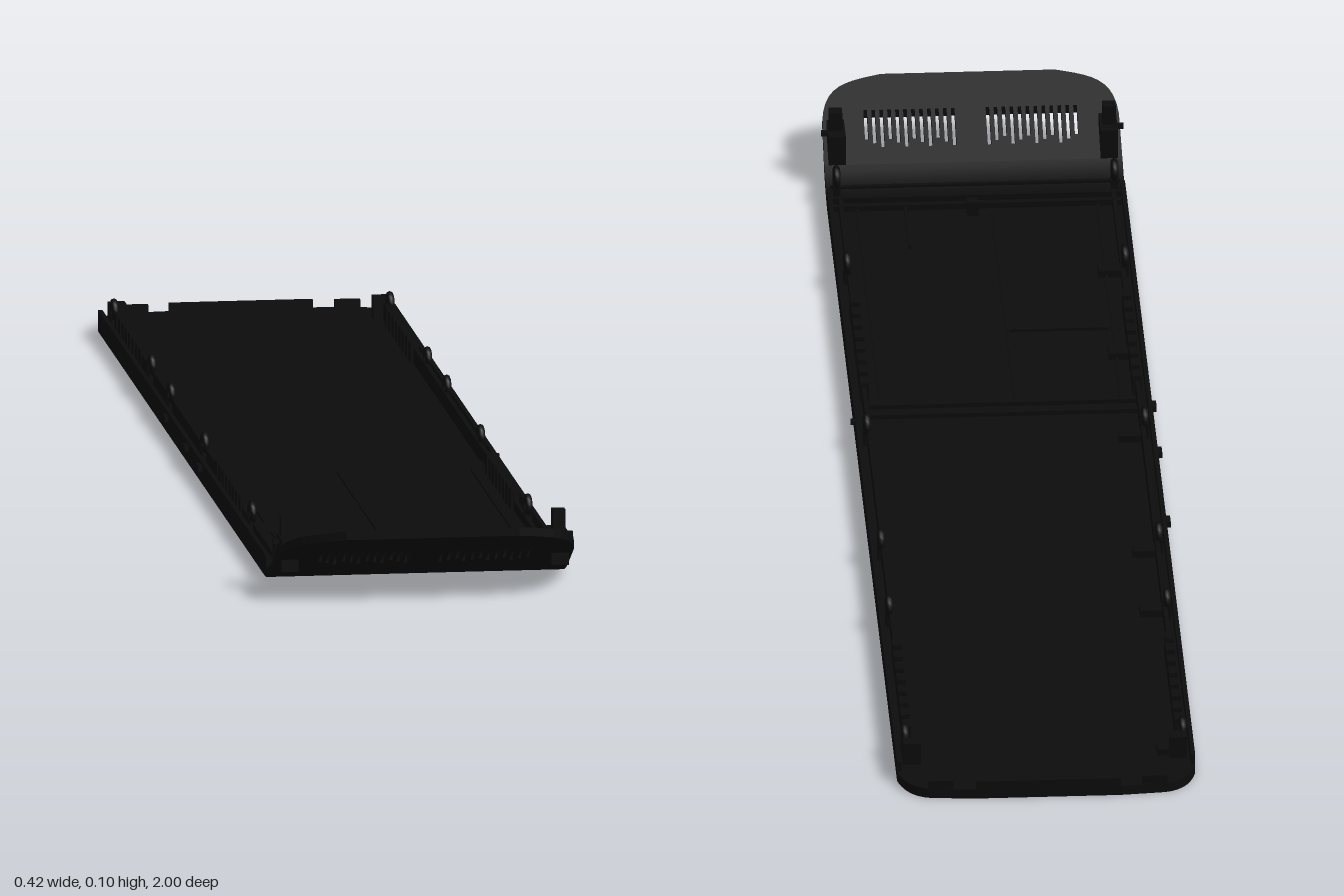
import * as THREE from 'three';

const black = new THREE.MeshStandardMaterial({ color: 0x0c0c0c });
black.name = 'matte black';

// Height of the underside: flat, then a smooth bend into the raised lip
const rise = (z) => z < 0.78 ? 0 : z < 0.86 ? (z - 0.78) ** 2 * 3.125 : 0.02 + (z - 0.86) * 0.5;

function bend(geo) {
  const p = geo.attributes.position;
  for (let i = 0; i < p.count; i++) p.setY(i, p.getY(i) + rise(p.getZ(i)));
  geo.computeVertexNormals();
  return geo;
}

// Plan outline (x, z) turned into a slab standing on y = 0
function slab(shape, depth) {
  const geo = new THREE.ExtrudeGeometry(shape, { depth, bevelEnabled: false, curveSegments: 10 });
  return geo.rotateX(Math.PI / 2).translate(0, depth, 0);
}

export function createModel() {
  const root = new THREE.Group();
  root.name = 'coverPanel';
  const add = (name, geo, x = 0, y = 0, z = 0) => {
    const m = new THREE.Mesh(geo, black);
    m.name = name;
    m.position.set(x, y, z);
    root.add(m);
    return m;
  };
  // Box given by its limits
  const box = (name, x0, x1, y0, y1, z0, z1) =>
    add(name, new THREE.BoxGeometry(x1 - x0, y1 - y0, z1 - z0), (x0 + x1) / 2, (y0 + y1) / 2, (z0 + z1) / 2);
  // The same box on both sides
  const pair = (name, x0, x1, ...r) => {
    box(name + 'Left', x0, x1, ...r);
    box(name + 'Right', -x1, -x0, ...r);
  };

  // Floor with clipped rear corners
  const floor = new THREE.Shape();
  floor.moveTo(-0.206, 0.78);
  floor.lineTo(-0.206, -0.94);
  floor.quadraticCurveTo(-0.195, -0.99, -0.16, -0.995);
  floor.lineTo(-0.1, -1);
  floor.lineTo(0.1, -1);
  floor.lineTo(0.16, -0.995);
  floor.quadraticCurveTo(0.195, -0.99, 0.206, -0.94);
  floor.lineTo(0.206, 0.78);
  add('floor', slab(floor, 0.014));

  // Curved transition between floor and lip
  add('bend', bend(new THREE.BoxGeometry(0.412, 0.014, 0.08, 1, 1, 8).translate(0, 0.007, 0.82)));

  // Raised lip with rounded corners and two banks of vent slots
  const lip = new THREE.Shape();
  lip.moveTo(-0.206, 0.86);
  lip.lineTo(0.206, 0.86);
  lip.lineTo(0.205, 0.93);
  lip.bezierCurveTo(0.2, 0.985, 0.17, 0.99, 0.12, 1);
  lip.lineTo(-0.12, 1);
  lip.bezierCurveTo(-0.17, 0.99, -0.2, 0.985, -0.205, 0.93);
  for (const s of [-1, 1]) for (let i = 0; i < 12; i++) {
    const x = s * (0.024 + i * 0.011), z0 = 0.888 + (i % 3) * 0.006;
    const slot = new THREE.Path();
    slot.moveTo(x - 0.0025, z0);
    slot.lineTo(x - 0.0025, 0.945);
    slot.lineTo(x + 0.0025, 0.945);
    slot.lineTo(x + 0.0025, z0);
    lip.holes.push(slot);
  }
  add('ventedLip', bend(slab(lip, 0.012)));

  // Side walls, inner rails and rear wall segments
  pair('sideWall', 0.2, 0.206, 0.01, 0.03, -0.94, 0.8);
  pair('innerRail', 0.186, 0.192, 0.012, 0.036, -0.92, 0.45);
  pair('frontRail', 0.186, 0.192, 0.012, 0.028, 0.45, 0.78);
  box('rearWall', -0.1, 0.1, 0.01, 0.026, -1, -0.994);
  pair('rearWallSegment', 0.13, 0.165, 0.01, 0.026, -0.995, -0.985);
  pair('rearBlock', 0.172, 0.196, 0.012, 0.046, -0.92, -0.9);

  // Toothed clips on the inner rails
  for (const [start, end] of [[-0.86, -0.58], [0.18, 0.45]])
    for (let z = start; z < end; z += 0.035) pair('railTooth', 0.182, 0.194, 0.012, 0.043, z, z + 0.022);

  // Screw eyes along both sides
  for (const z of [-0.88, -0.49, -0.29, 0.06, 0.55, 0.81]) for (const s of [-1, 1]) {
    add('screwEye', new THREE.TorusGeometry(0.012, 0.005, 8, 18).rotateY(Math.PI / 2), s * 0.192, 0.041, z);
    box('eyeFoot', s * 0.192 - 0.005, s * 0.192 + 0.005, 0.01, 0.032, z - 0.012, z + 0.012);
  }

  // Stepped posts at the base of the lip
  pair('postBase', 0.176, 0.2, 0.03, 0.076, 0.862, 0.915);
  pair('post', 0.18, 0.198, 0.07, 0.104, 0.88, 0.898);
  pair('postPeg', 0.196, 0.209, 0.066, 0.072, 0.885, 0.893);

  // Outer locating tabs
  for (const z of [-0.22, -0.01, 0.13]) box('outerTab', -0.212, -0.2, 0.018, 0.026, z - 0.01, z + 0.01);
  box('outerPeg', 0.2, 0.212, 0.02, 0.025, 0.1, 0.11);

  // Cross ribs and ridges on the floor
  for (const z of [0.13, 0.16]) box('crossRib', -0.19, 0.19, 0.012, 0.02, z - 0.003, z + 0.003);
  for (const z of [0.76, 0.785, 0.82]) box('bendRib', -0.2, 0.2, 0.012, 0.022, z - 0.003, z + 0.003);
  box('longRib', -0.022, -0.018, 0.012, 0.018, 0.16, 0.74);
  box('shortRib', 0.098, 0.102, 0.012, 0.02, 0.64, 0.76);
  box('panelRib', -0.16, -0.02, 0.012, 0.018, 0.38, 0.384);
  pair('edgeRib', 0.164, 0.168, 0.012, 0.018, 0.16, 0.76);
  box('smallStud', 0, 0.016, 0.012, 0.035, 0.735, 0.75);
  for (const z of [-0.9, -0.48, -0.3, 0.05, 0.3, 0.55])
    box('sideRib', -0.19, -0.155, 0.012, 0.024, z - 0.012, z + 0.012);

  return root;
}
